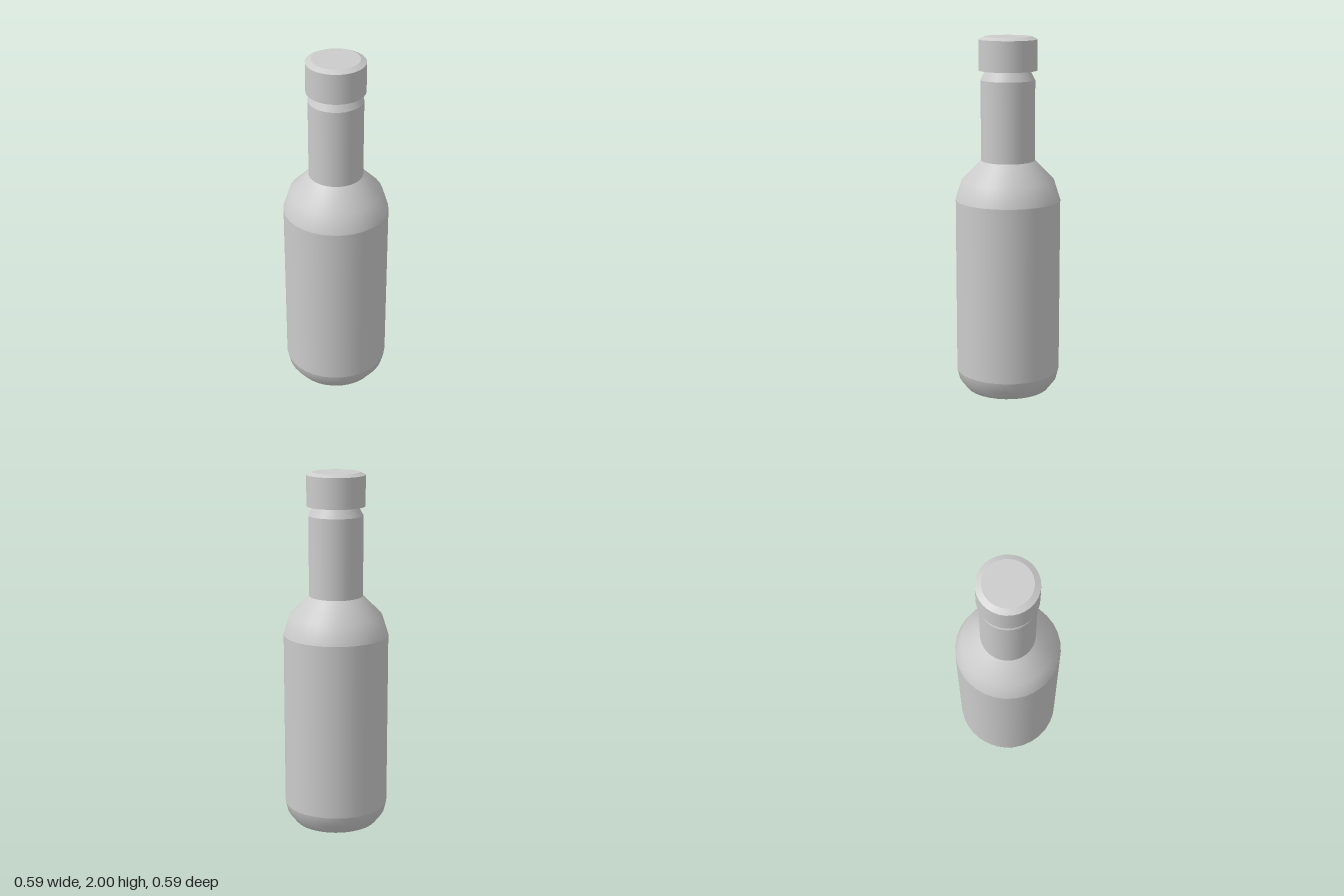
import * as THREE from 'three';

const SIDES = 32;
const material = new THREE.MeshStandardMaterial({ color: 0xcccccc });

// One smooth turned section; separate sections meet in a sharp edge.
function turned(name, profile) {
  const points = profile.map(([r, y]) => new THREE.Vector2(r, y));
  const mesh = new THREE.Mesh(new THREE.LatheGeometry(points, SIDES), material);
  mesh.name = name;
  return mesh;
}

function assembly(name, sections) {
  const group = new THREE.Group();
  group.name = name;
  for (const [part, profile] of Object.entries(sections)) group.add(turned(part, profile));
  return group;
}

export function createModel() {
  const model = new THREE.Group();
  model.name = 'bottle';

  // Glass, from the flat bottom up to the mouth
  model.add(assembly('bottleBody', {
    bottom: [[0, 0], [0.237, 0]],
    baseCurve: [[0.237, 0], [0.279, 0.055], [0.293, 0.11]],
    barrel: [[0.293, 0.11], [0.293, 1.1]],
    shoulder: [[0.293, 1.1], [0.258, 1.21], [0.15, 1.32]],
    neck: [[0.15, 1.32], [0.15, 1.765]],
    neckTaper: [[0.15, 1.765], [0.122, 1.82]],
  }));

  // Bevelled cap over the mouth
  model.add(assembly('cap', {
    capUnderside: [[0, 1.817], [0.161, 1.817]],
    capSide: [[0.161, 1.817], [0.161, 1.985]],
    capBevel: [[0.161, 1.985], [0.13, 2]],
    capTop: [[0.13, 2], [0, 2]],
  }));

  return model;
}
